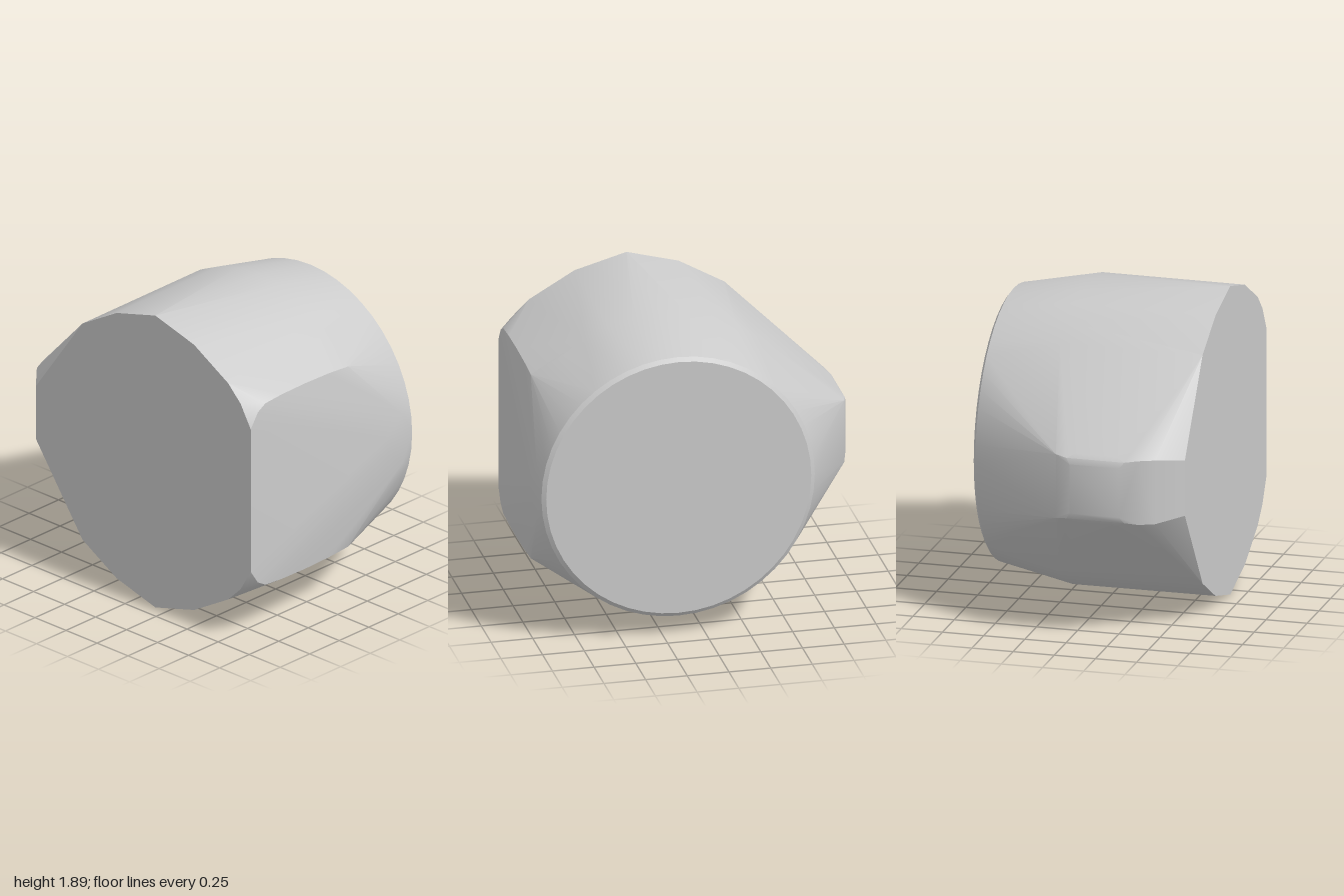
import * as THREE from 'three';
import { ConvexGeometry } from 'three/addons/geometries/ConvexGeometry.js';
import { toCreasedNormals } from 'three/addons/utils/BufferGeometryUtils.js';

const CX = 0.163, CY = 0.945; // axis of the round body

export function createModel() {
  const points = [];
  const add = (x, y, z) => points.push(new THREE.Vector3(x, y, z));
  // a pair mirrored above and below the middle height
  const pair = (x, dy, z) => { add(x, CY + dy, z); add(x, CY - dy, z); };
  const polar = (deg, r, z) => {
    const a = THREE.MathUtils.degToRad(deg);
    pair(CX + r * Math.cos(a), r * Math.sin(a), z);
  };

  // front face, cut flat at the right edge
  for (const deg of [50, 70, 110, 130]) polar(deg, 0.913, 0.665);
  polar(90, 0.944, 0.665);
  pair(0.85, 0.6, 0.665);
  pair(0.932, 0.46, 0.665);
  pair(-0.8, 0.17, 0.665);

  // shoulder where the body starts to taper
  for (let deg = 50; deg <= 130; deg += 10) polar(deg, 0.915, -0.2);

  // round back disc with a softened rim
  for (let deg = 0; deg <= 180; deg += 7.5) {
    polar(deg, 0.795, -0.665);
    polar(deg, 0.82, -0.648);
  }

  // side flat: rounded border and slight bulge towards the back
  for (const [dy, z] of [[0.55, 0.605], [0.587, 0.54], [0.597, 0.4], [0.6, 0.2], [0.595, 0], [0.583, -0.16]])
    pair(0.932, dy, z);
  pair(0.99, 0.16, -0.56);
  pair(0.999, 0.05, -0.42);

  // blunt nose on the other side
  for (const [x, dy, z] of [
    [-0.93, 0.195, 0.52], [-0.97, 0.195, 0.43], [-0.97, 0.21, 0.3], [-0.97, 0.21, 0.05],
    [-0.97, 0.195, -0.07], [-0.99, 0.185, 0.35], [-0.99, 0.185, 0], [-1, 0.15, 0.32], [-1, 0.15, 0.02],
  ]) pair(x, dy, z);

  const geometry = toCreasedNormals(new ConvexGeometry(points), 0.42);
  const body = new THREE.Mesh(geometry, new THREE.MeshStandardMaterial({ color: 0xcccccc }));
  body.name = 'body';

  const group = new THREE.Group();
  group.name = 'roundedBlock';
  group.add(body);
  return group;
}
